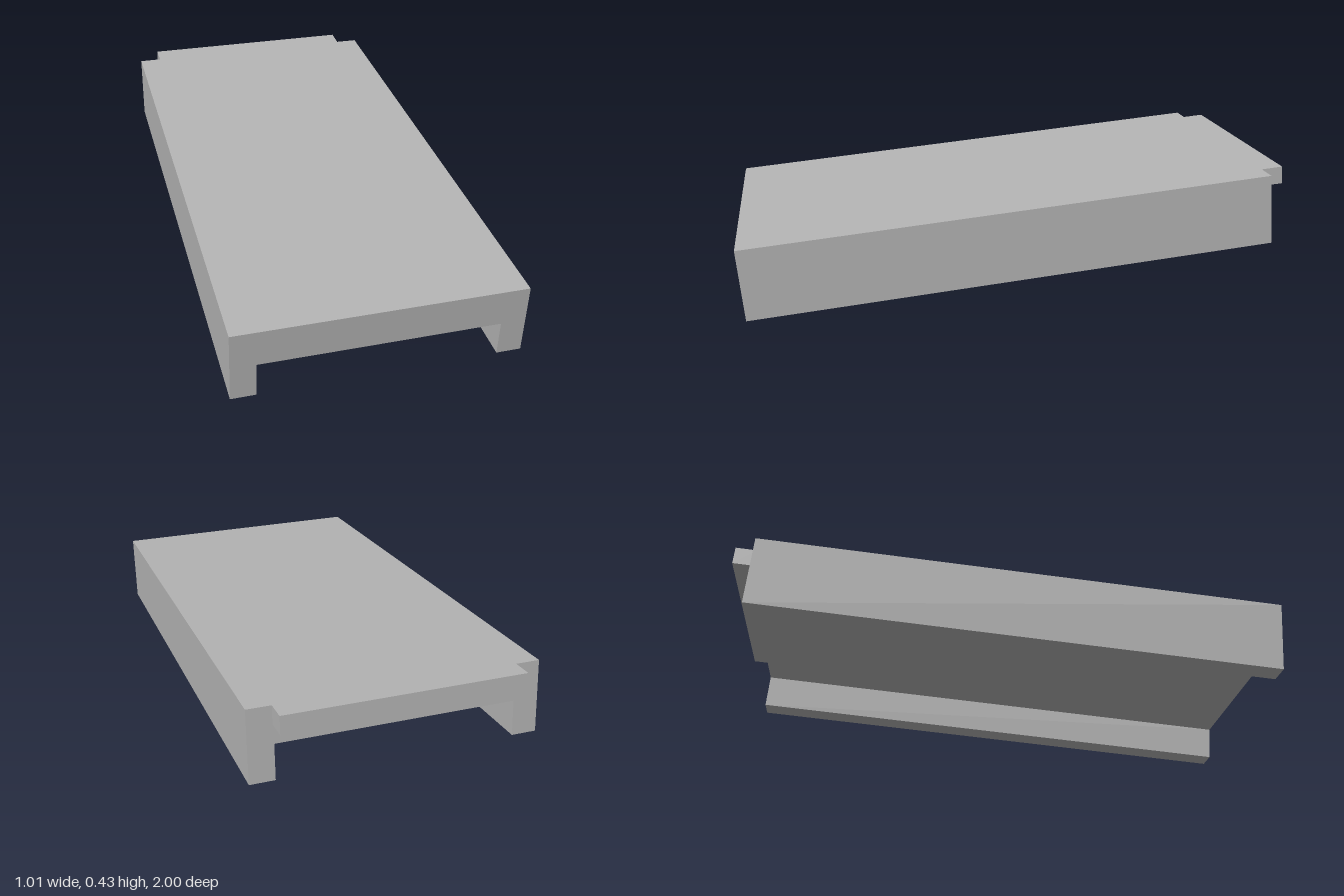
import * as THREE from 'three';

const TILT = THREE.MathUtils.degToRad(4.8);
const HALF_WIDTH = 0.505, INNER = 0.417, HEIGHT = 0.261, SLAB = 0.133;
const LENGTH = 1.922, LIP_LENGTH = 0.08, LIP_HEIGHT = 0.065, LIP_WIDTH = 0.84;

export function createModel() {
  const model = new THREE.Group();
  model.name = 'slopedPlatform';
  const grey = new THREE.MeshStandardMaterial({ color: 0xb4b4b4 });
  grey.name = 'grey';

  // Everything is built flat from the top front edge, then tilted up to the back
  const ramp = new THREE.Group();
  ramp.name = 'ramp';
  ramp.position.set(0, 0.26, 1);
  ramp.rotation.x = TILT;
  model.add(ramp);

  // Channel: top slab with a rail down each side
  const section = new THREE.Shape([
    [-HALF_WIDTH, 0], [-HALF_WIDTH, -HEIGHT], [-INNER, -HEIGHT], [-INNER, -SLAB],
    [INNER, -SLAB], [INNER, -HEIGHT], [HALF_WIDTH, -HEIGHT], [HALF_WIDTH, 0],
  ].map(([x, y]) => new THREE.Vector2(x, y)));
  const channel = new THREE.Mesh(
    new THREE.ExtrudeGeometry(section, { depth: LENGTH, bevelEnabled: false }), grey);
  channel.name = 'deckWithSideRails';
  channel.position.z = -LENGTH;
  ramp.add(channel);

  // Narrow ledge along the back edge, flush with the deck
  const lip = new THREE.Mesh(new THREE.BoxGeometry(LIP_WIDTH, LIP_HEIGHT, LIP_LENGTH), grey);
  lip.name = 'backLip';
  lip.position.set(0, -LIP_HEIGHT / 2, -LENGTH - LIP_LENGTH / 2);
  ramp.add(lip);

  return model;
}
